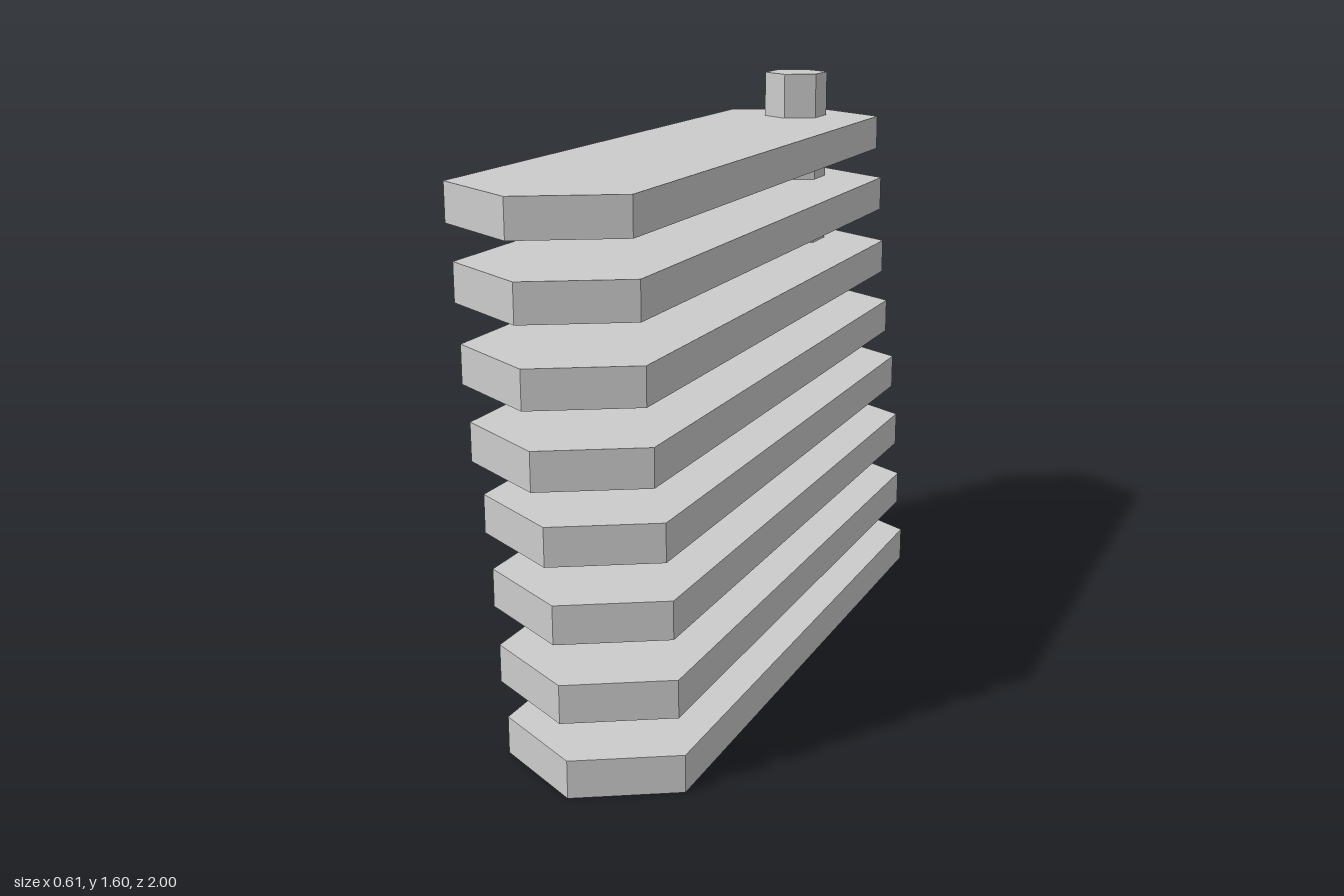
import * as THREE from 'three';

const material = new THREE.MeshStandardMaterial({ color: 0xcccccc, flatShading: true });

// Long plank with a pointed end at the front and back, base at y = 0
function plankGeometry(halfWidth, halfLength, tip, thickness) {
  const side = halfLength - tip;
  const shape = new THREE.Shape([
    new THREE.Vector2(0, -halfLength),
    new THREE.Vector2(halfWidth, -side),
    new THREE.Vector2(halfWidth, side),
    new THREE.Vector2(0, halfLength),
    new THREE.Vector2(-halfWidth, side),
    new THREE.Vector2(-halfWidth, -side),
  ]);
  return new THREE.ExtrudeGeometry(shape, { depth: thickness, bevelEnabled: false })
    .rotateX(-Math.PI / 2);
}

export function createModel() {
  const model = new THREE.Group();
  model.name = 'stackedPlanks';

  // Planks, each shifted a little sideways from the one below: [x, y, z]
  const geometry = plankGeometry(0.248, 0.992, 0.143, 0.1);
  const places = [
    [0.056, 0, -0.008], [0.039, 0.195, -0.008], [0.027, 0.397, -0.008], [0.009, 0.59, -0.008],
    [-0.012, 0.777, 0.008], [-0.03, 0.97, 0.008], [-0.042, 1.17, 0.008], [-0.059, 1.361, 0.008],
  ];
  places.forEach(([x, y, z], i) => {
    const plank = new THREE.Mesh(geometry, material);
    plank.name = `plank${i + 1}`;
    plank.position.set(x, y, z);
    model.add(plank);
  });

  // Six-sided post through the back of the stack
  const bottom = 0.05, top = 1.595;
  const post = new THREE.Mesh(new THREE.CylinderGeometry(0.097, 0.097, top - bottom, 6), material);
  post.name = 'post';
  post.position.set(-0.056, (top + bottom) / 2, -0.768);
  model.add(post);

  return model;
}
